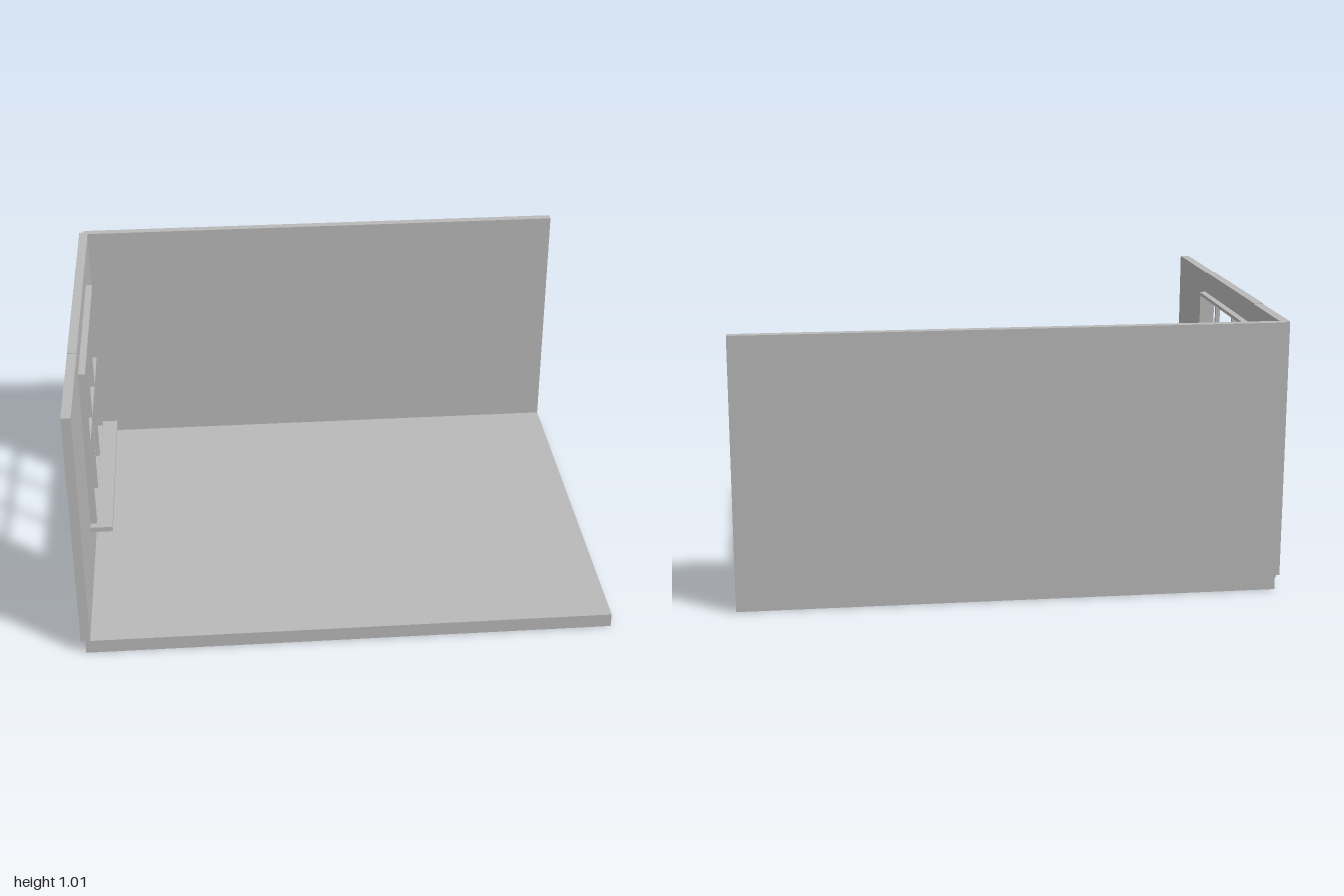
import * as THREE from 'three';

export function createModel() {
  const room = new THREE.Group();
  room.name = 'roomCorner';
  const plaster = new THREE.MeshStandardMaterial({ color: 0xb8b8b8 });
  plaster.name = 'plainGrey';

  // Box given by its limits on each axis
  function block(name, [x0, x1], [y0, y1], [z0, z1], parent = room) {
    const mesh = new THREE.Mesh(new THREE.BoxGeometry(x1 - x0, y1 - y0, z1 - z0), plaster);
    mesh.position.set((x0 + x1) / 2, (y0 + y1) / 2, (z0 + z1) / 2);
    mesh.name = name;
    parent.add(mesh);
  }

  const floorTop = 0.054, wallTop = 1.012;
  const inner = -0.965;                    // room side of the window wall
  const hole = { y: [0.277, 0.918], z: [-0.416, 0.312] };

  // Floor slab and back wall
  block('floor', [-0.983, 1], [0, floorTop], [-0.766, 0.783]);
  block('backWall', [-0.983, 1], [floorTop, wallTop], [-0.783, -0.749]);

  // Window wall in four pieces around the opening; the lintel stands slightly proud
  const wall = new THREE.Group();
  wall.name = 'windowWall';
  room.add(wall);
  const wx = [-1, inner];
  block('wallRearPart', wx, [floorTop, wallTop], [-0.766, hole.z[0]], wall);
  block('wallFrontPart', wx, [floorTop, wallTop], [hole.z[1], 0.783], wall);
  block('wallBelowWindow', wx, [floorTop, hole.y[0]], hole.z, wall);
  block('lintel', wx, [hole.y[1], 1.015], hole.z, wall);

  // Window: raised frame, glazing bars and sill
  const win = new THREE.Group();
  win.name = 'window';
  room.add(win);
  const fx = [inner, -0.94], edge = 0.013;
  const outerZ = [hole.z[0] - edge, hole.z[1] + edge];
  block('frameTop', fx, [hole.y[1], hole.y[1] + edge], outerZ, win);
  block('frameBottom', fx, [0.264, hole.y[0]], outerZ, win);
  block('frameRearSide', fx, hole.y, [outerZ[0], hole.z[0]], win);
  block('frameFrontSide', fx, hole.y, [hole.z[1], outerZ[1]], win);

  const bx = [-0.961, -0.944], half = 0.007;
  for (const z of [-0.176, 0.072]) {
    block('verticalBar', bx, hole.y, [z - half, z + half], win);
  }
  block('crossBar', bx, [0.59, 0.603], hole.z, win);
  block('sill', [inner, -0.88], [0.252, 0.272], [-0.458, 0.355], win);

  return room;
}
